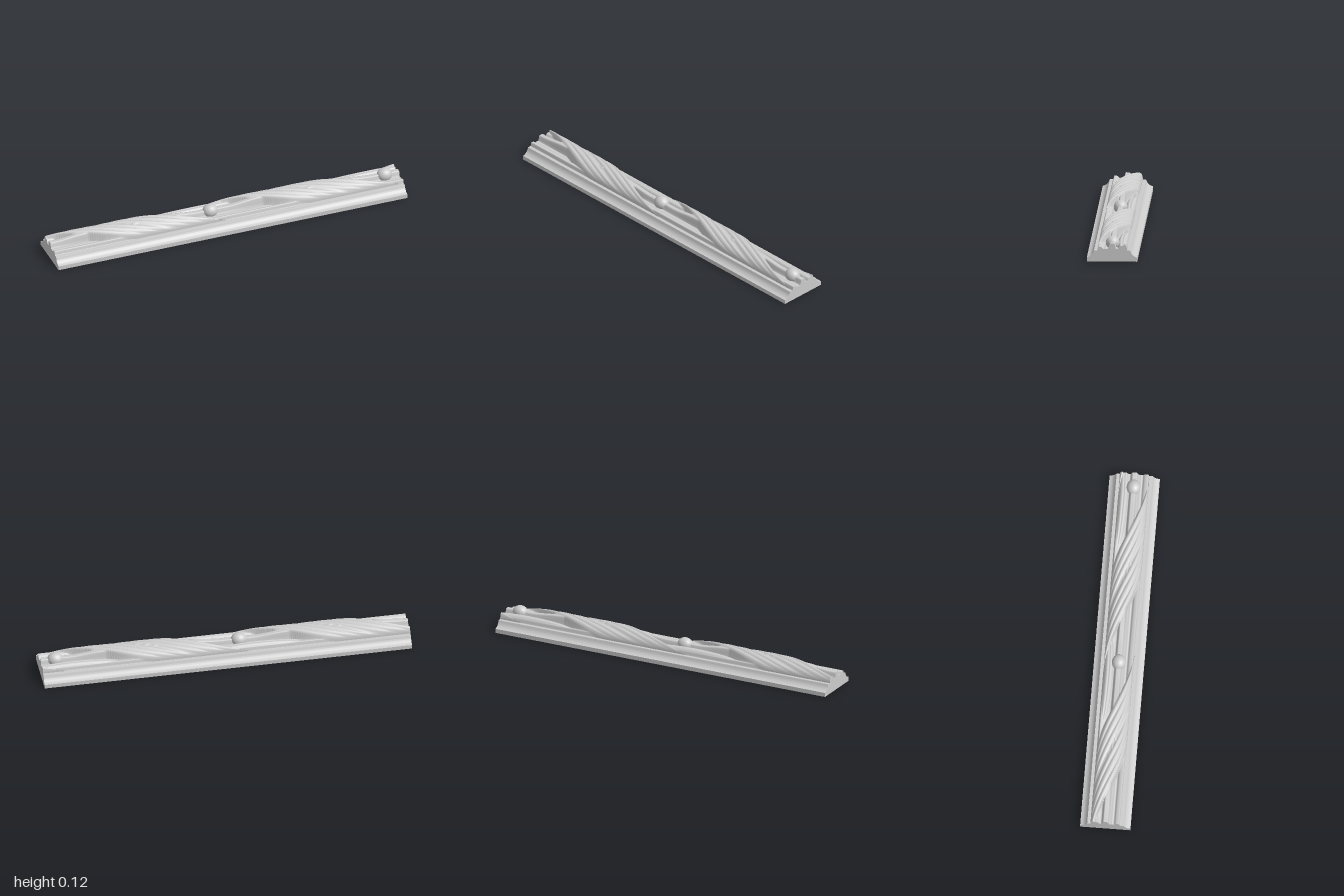
import * as THREE from 'three';
import { toCreasedNormals } from 'three/addons/utils/BufferGeometryUtils.js';

const LENGTH = 2, HALF = 0.08, STEP = 0.06;
const { smoothstep, clamp, lerp } = THREE.MathUtils;
const material = new THREE.MeshStandardMaterial({ color: 0xcccccc });

// Low channel between the twists: central rib, sloping floor and raised lips
function channelHeight(s, z) {
  const a = Math.abs(z);
  const floor = 0.068 + 0.013 * smoothstep(a, 0.025, 0.072);
  const lip = 1 - smoothstep(a, 0.072, HALF);
  const ribTop = 0.098 + 0.016 * smoothstep(s, 0.02, 0.2) * (1 - smoothstep(s, 0.65, 0.85));
  const rib = 1 - smoothstep(a, 0.011, 0.024);
  const groove = 0.006 * Math.exp(-(((z - 0.045) / 0.006) ** 2));
  return Math.max(lerp(STEP, floor, lip) - groove, lerp(STEP, ribTop, rib));
}

// Diagonal ribbons wrapped over the dome: centre, half width, lobes, fullness
const RIBBONS = [
  [0.30, 0.125, 3, 1],
  [0.56, 0.125, 3, 0.99],
  [0.43, 0.05, 1, 0.84],
];

// Carved height at repeat position s (0..1) and wrap angle t (0..PI)
function carvedHeight(s, t) {
  const z = -HALF * Math.cos(t);
  const dome = STEP + 0.066 * Math.pow(Math.sin(t), 0.85);
  let y = channelHeight(s, z);
  for (const shift of [-1, 0, 1]) {
    const u = s + shift;
    for (const [centre, half, lobes, full] of RIBBONS) {
      const v = (u - centre - 0.62 * (t / Math.PI - 0.5)) / half;
      if (Math.abs(v) >= 1) continue;
      const lobe = Math.abs(Math.sin((v + 1) * 0.5 * lobes * Math.PI));
      const carve = 0.011 * (1 - Math.sqrt(lobe));
      const edge = Math.sqrt(1 - v ** 4);
      y = Math.max(y, lerp(STEP, dome, full * (0.72 + 0.28 * edge)) - carve * Math.sin(t));
    }
    // Long leaf lying along the back edge
    const lu = (u - 0.83) / 0.27, lv = (z + 0.05 + 0.012 * lu * lu) / 0.024;
    const d = lu * lu + lv * lv;
    if (d < 1) y = Math.max(y, 0.07 + 0.024 * Math.sqrt(1 - d) - 0.004 * Math.exp(-((lv / 0.2) ** 2)));
    // Small leaf tips tucked between the ribbons
    for (let i = 0; i < 3; i++) {
      const du = (u - 0.37 - i * 0.055) / 0.04, dv = (z + 0.012 - i * 0.014) / 0.011;
      const e = du * du + dv * dv;
      if (e < 1) y = Math.max(y, 0.095 + 0.024 * Math.sqrt(1 - e));
    }
  }
  return clamp(y, STEP, 0.125);
}

function add(group, geometry, name) {
  const mesh = new THREE.Mesh(geometry, material);
  mesh.name = name;
  group.add(mesh);
  return mesh;
}

export function createModel() {
  const group = new THREE.Group();
  group.name = 'carvedMoulding';

  // Base rail with a hollow cove on each side
  const profile = new THREE.Shape();
  profile.moveTo(-0.135, 0);
  profile.lineTo(0.135, 0);
  profile.lineTo(0.135, 0.023);
  profile.bezierCurveTo(0.118, 0.026, 0.104, 0.038, 0.1, 0.054);
  profile.lineTo(0.097, STEP);
  profile.lineTo(-0.097, STEP);
  profile.lineTo(-0.1, 0.054);
  profile.bezierCurveTo(-0.104, 0.038, -0.118, 0.026, -0.135, 0.023);
  const rail = new THREE.ExtrudeGeometry(profile, { depth: LENGTH, bevelEnabled: false, curveSegments: 12 });
  rail.translate(0, 0, -LENGTH / 2).rotateY(Math.PI / 2);
  add(group, toCreasedNormals(rail, 0.5), 'baseRail');

  // Carved relief, two repeats along the rail
  const relief = new THREE.PlaneGeometry(LENGTH, 1, 480, 72).rotateX(-Math.PI / 2);
  const p = relief.attributes.position;
  for (let i = 0; i < p.count; i++) {
    const t = clamp(p.getZ(i) + 0.5, 0, 1) * Math.PI;
    const x = p.getX(i);
    p.setXYZ(i, x, carvedHeight((x + 2) % 1, t), -HALF * Math.cos(t));
  }
  relief.computeVertexNormals();
  add(group, relief, 'carvedRelief');

  // Flat caps closing the relief at both ends
  for (const side of [-1, 1]) {
    const outline = [new THREE.Vector2(-HALF, STEP - 0.001)];
    for (let i = 0; i <= 72; i++) {
      const t = (i / 72) * Math.PI;
      const z = -HALF * Math.cos(t);
      outline.push(new THREE.Vector2(z, carvedHeight(0, side > 0 ? Math.PI - t : t)));
    }
    outline.push(new THREE.Vector2(HALF, STEP - 0.001));
    const cap = new THREE.ShapeGeometry(new THREE.Shape(outline));
    cap.rotateY(side * Math.PI / 2).translate(side * LENGTH / 2, 0, 0);
    add(group, cap, 'endCap');
  }

  // Round beads sitting on the central rib
  for (const x of [-0.08, 0.92]) {
    const bead = add(group, new THREE.SphereGeometry(0.037, 32, 20), 'bead');
    bead.scale.x = 1.15;
    bead.position.set(x, 0.088, 0);
  }
  return group;
}
